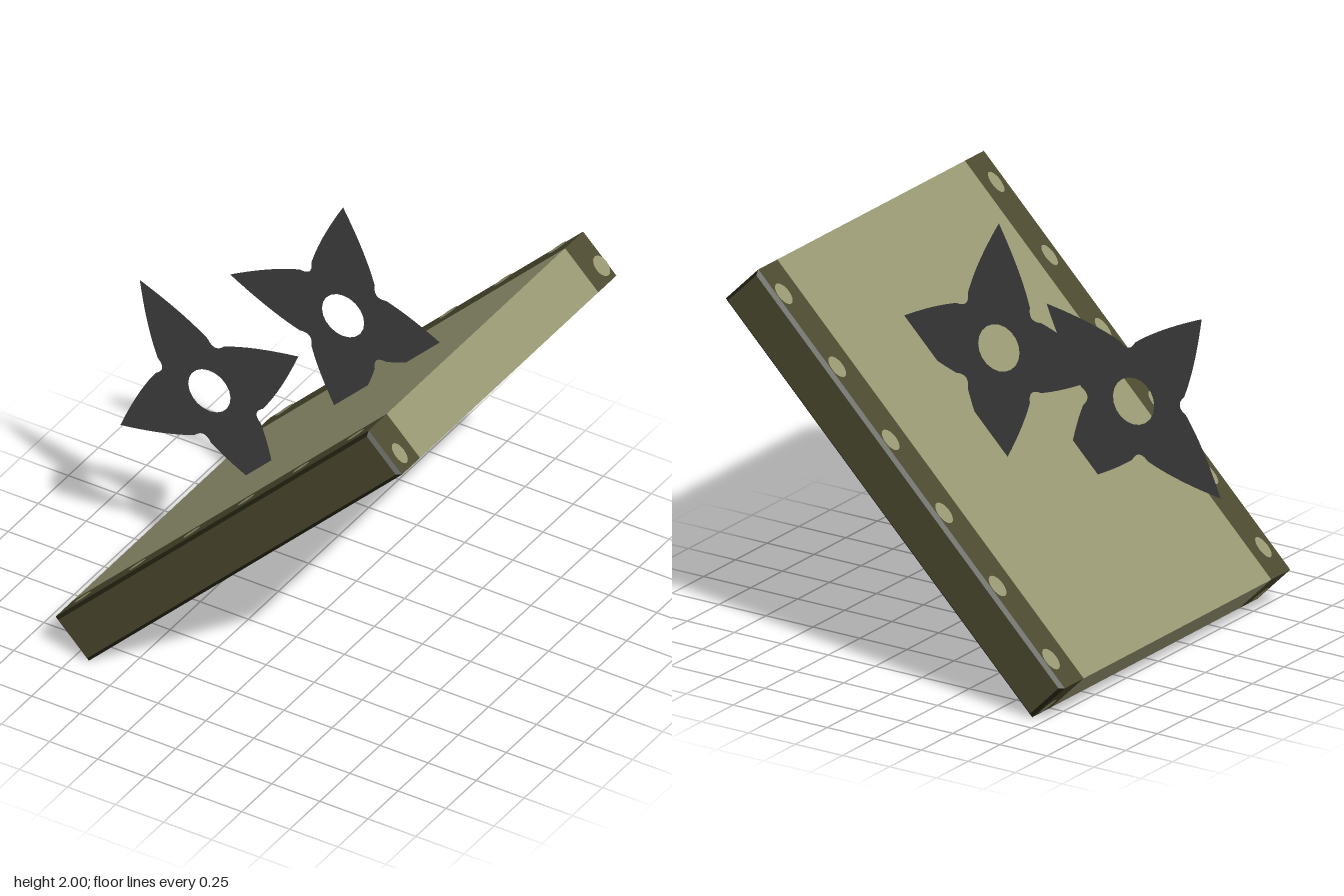
import * as THREE from 'three';

const LENGTH = 2.305, THICK = 0.245, CORE = 0.74, EDGE = 0.905, BEVEL = 0.016;

export function createModel() {
  const wood = new THREE.MeshStandardMaterial({ color: 0x969671 });
  wood.name = 'light olive';
  const trim = new THREE.MeshStandardMaterial({ color: 0x4a482d });
  trim.name = 'dark olive';
  const seam = new THREE.MeshStandardMaterial({ color: 0x222212 });
  seam.name = 'edge shadow olive';
  const steel = new THREE.MeshStandardMaterial({ color: 0x404040, side: THREE.DoubleSide });
  steel.name = 'dark steel';

  const model = new THREE.Group();
  const add = (parent, name, geometry, material) => {
    const mesh = new THREE.Mesh(geometry, material);
    mesh.name = name;
    parent.add(mesh);
    return mesh;
  };

  // Slanted board
  const board = new THREE.Group();
  board.name = 'board';
  board.position.set(0.05, 0.9, 0);
  board.rotation.z = Math.PI / 4;
  model.add(board);
  add(board, 'panel', new THREE.BoxGeometry(LENGTH, THICK, CORE * 2), wood);

  // Trim bands along both long sides, each with a dark bevelled rim
  const bandDepth = EDGE - BEVEL - CORE;
  for (const s of [1, -1]) {
    const band = new THREE.Group();
    band.name = s > 0 ? 'frontBand' : 'backBand';
    board.add(band);
    add(band, 'bandStrip', new THREE.BoxGeometry(LENGTH, THICK, bandDepth), trim)
      .position.z = s * (CORE + bandDepth / 2);

    const rim = new THREE.BoxGeometry(LENGTH, THICK, BEVEL);
    const p = rim.attributes.position;
    for (let i = 0; i < p.count; i++) {
      if (p.getZ(i) * s > 0) {
        p.setX(i, p.getX(i) - Math.sign(p.getX(i)) * BEVEL);
        p.setY(i, p.getY(i) - Math.sign(p.getY(i)) * BEVEL);
      }
    }
    rim.computeVertexNormals();
    add(band, 'bandRim', rim, [seam, seam, seam, seam, trim, trim])
      .position.z = s * (EDGE - BEVEL / 2);

    // Rivets on the top, underside and both ends
    const z = s > 0 ? 0.825 : -0.85, rz = s > 0 ? 0.032 : 0.04;
    const disc = new THREE.CircleGeometry(1, 20);
    for (let i = 0; i < 6; i++) {
      for (const side of [1, -1]) {
        const rivet = add(band, 'rivet', disc, wood);
        rivet.position.set(-1.008 + i * 0.402, side * (THICK / 2 + 0.004), z);
        rivet.rotation.x = -side * Math.PI / 2;
        rivet.scale.set(0.055, rz, 1);
      }
    }
    for (const end of [1, -1]) {
      const rivet = add(band, 'endRivet', disc, wood);
      rivet.position.set(end * (LENGTH / 2 + 0.004), -0.045, z);
      rivet.rotation.y = end * Math.PI / 2;
      rivet.scale.set(rz, 0.052, 1);
    }
  }

  // Flat four-pointed blade: curved arms, rounded notches, round hole
  const shape = new THREE.Shape();
  shape.moveTo(0, 0.588);
  for (let k = 0; k < 4; k++) {
    const c = Math.round(Math.cos(k * Math.PI / 2)), d = Math.round(Math.sin(k * Math.PI / 2));
    const turn = (x, y) => [x * c + y * d, y * c - x * d];
    shape.quadraticCurveTo(...turn(0.122, 0.375), ...turn(0.165, 0.225));
    shape.quadraticCurveTo(...turn(0.155, 0.155), ...turn(0.225, 0.165));
    shape.quadraticCurveTo(...turn(0.375, 0.122), ...turn(0.588, 0));
  }
  const hole = new THREE.Path();
  hole.absarc(0, 0, 0.11, 0, Math.PI * 2, true);
  shape.holes.push(hole);
  const bladeGeometry = new THREE.ShapeGeometry(shape, 10);

  const lower = add(model, 'lowerThrowingStar', bladeGeometry, steel);
  lower.position.set(-0.49, 1.11, 0.19);
  lower.rotation.z = THREE.MathUtils.degToRad(38);
  const upper = add(model, 'upperThrowingStar', bladeGeometry, steel);
  upper.position.set(-0.07, 1.41, -0.25);

  return model;
}
